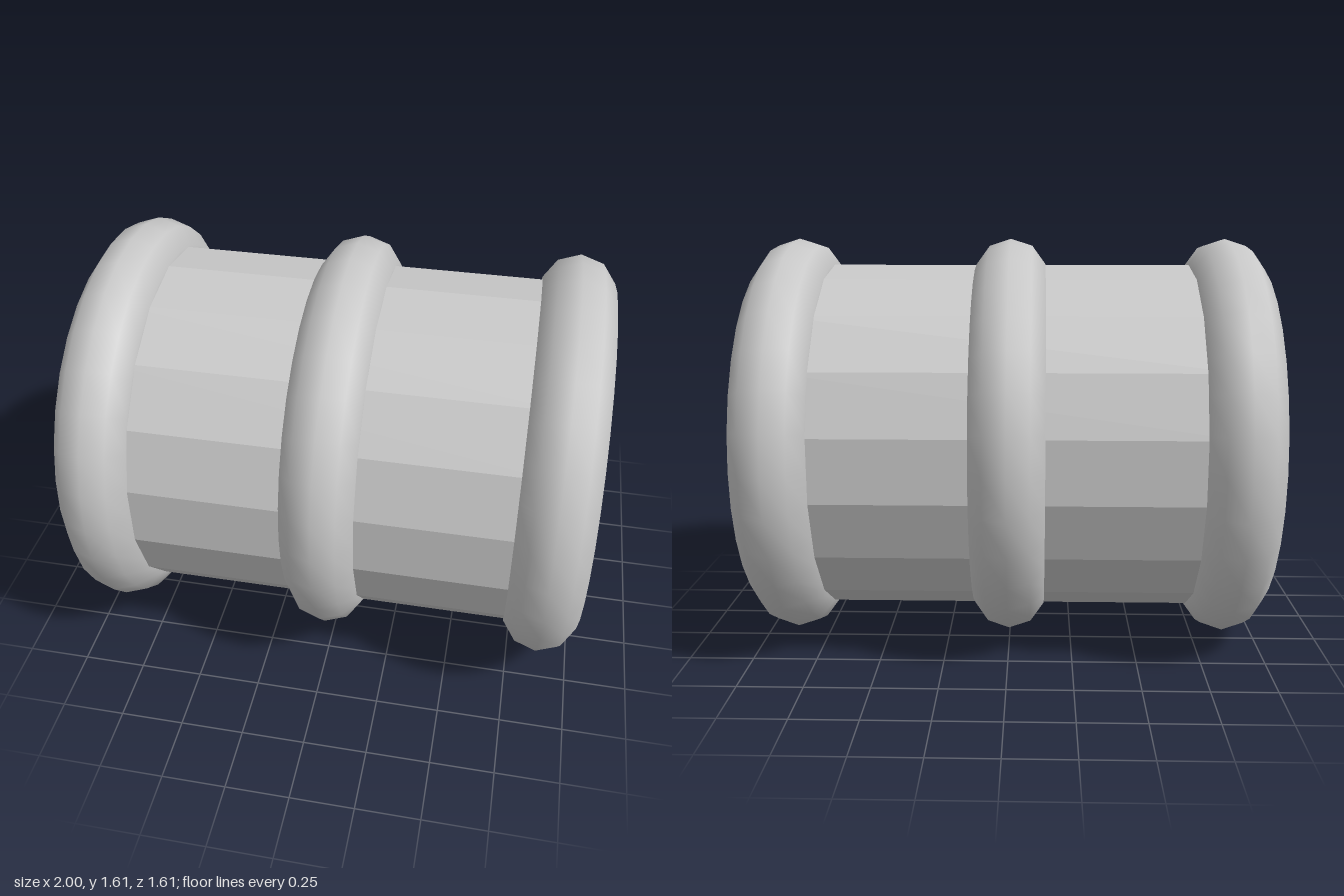
import * as THREE from 'three';

export function createModel() {
  const group = new THREE.Group();
  const centreY = 0.805;

  const grey = new THREE.MeshStandardMaterial({ color: 0xc8c8c8 });
  grey.name = 'light grey';
  // Faceted, see-through-ended wall shows on both sides
  const wallGrey = grey.clone();
  wallGrey.flatShading = true;
  wallGrey.side = THREE.DoubleSide;

  // Open faceted tube lying along x, with an edge at top and bottom
  const wall = new THREE.CylinderGeometry(0.7, 0.7, 1.72, 18, 1, true, Math.PI / 2);
  wall.rotateZ(-Math.PI / 2);
  const tube = new THREE.Mesh(wall, wallGrey);
  tube.name = 'tubeWall';
  tube.position.y = centreY;
  group.add(tube);

  // Smooth rings at both ends and in the middle
  const ringGeometry = new THREE.TorusGeometry(0.658, 0.147, 10, 32);
  ringGeometry.rotateY(Math.PI / 2);
  for (const [name, x] of [['rightRing', -0.86], ['middleRing', 0], ['leftRing', 0.86]]) {
    const ring = new THREE.Mesh(ringGeometry, grey);
    ring.name = name;
    ring.position.set(x, centreY, 0);
    group.add(ring);
  }

  return group;
}
